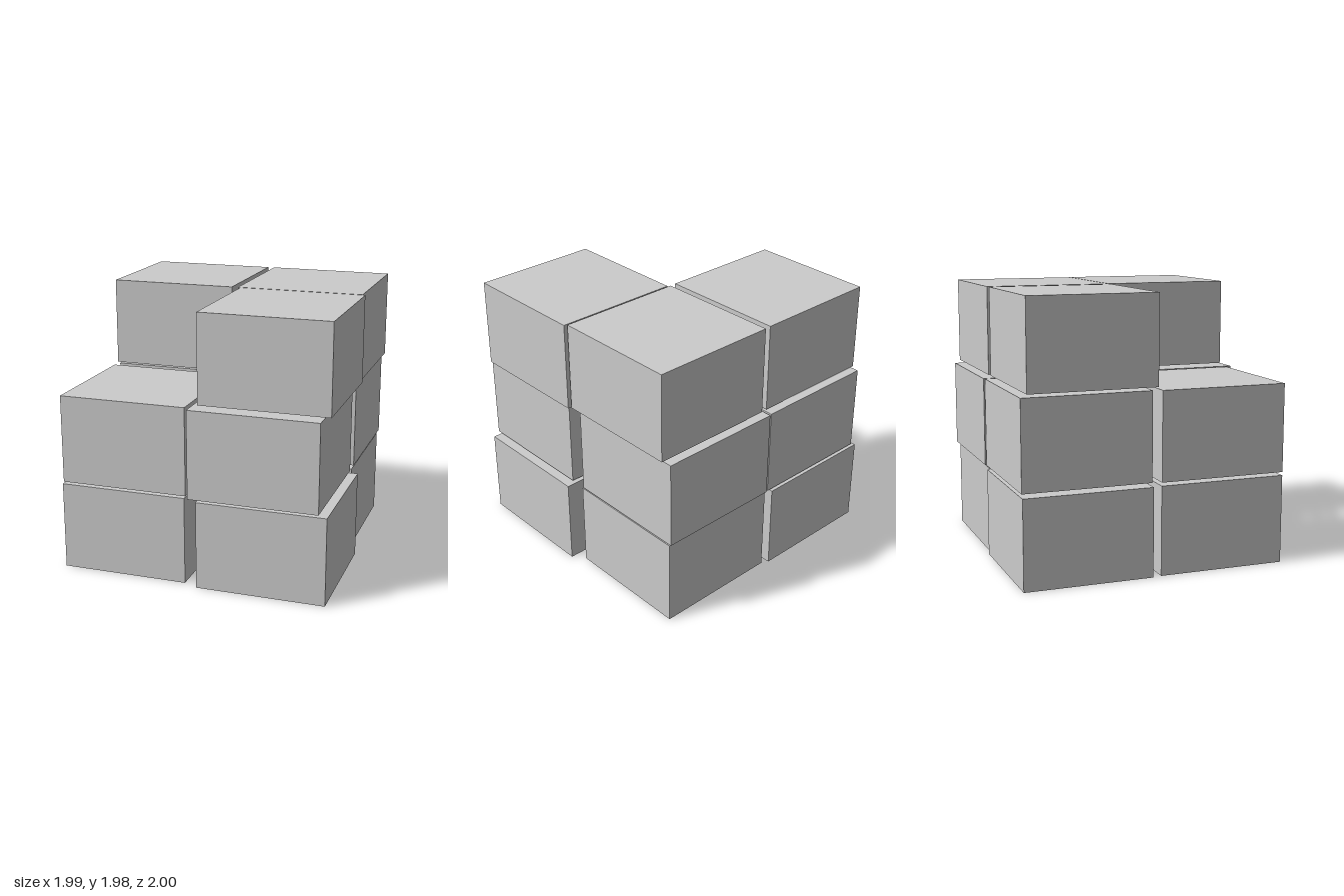
import * as THREE from 'three';

// Block size and vertical spacing of the layers
const WIDTH = 0.938, HEIGHT = 0.645, PITCH = 0.666;

// Slightly jittered block centres [x, z] for each layer, bottom to top
const LAYERS = [
  { name: 'bottom', blocks: { FrontRight: [-0.518, 0.47], FrontLeft: [0.523, 0.518], BackRight: [-0.531, -0.531], BackLeft: [0.456, -0.506] } },
  { name: 'middle', blocks: { FrontRight: [-0.505, 0.478], FrontLeft: [0.467, 0.531], BackRight: [-0.488, -0.525], BackLeft: [0.466, -0.531] } },
  // The top layer leaves one corner empty
  { name: 'top', blocks: { FrontLeft: [0.523, 0.464], BackRight: [-0.484, -0.48], BackLeft: [0.501, -0.484] } },
];

export function createModel() {
  const model = new THREE.Group();
  model.name = 'blockStack';
  const material = new THREE.MeshStandardMaterial({ color: 0xcccccc });
  const geometry = new THREE.BoxGeometry(WIDTH, HEIGHT, WIDTH);

  LAYERS.forEach(({ name, blocks }, level) => {
    const layer = new THREE.Group();
    layer.name = `${name}Layer`;
    layer.position.y = level * PITCH + HEIGHT / 2;
    for (const [corner, [x, z]] of Object.entries(blocks)) {
      const block = new THREE.Mesh(geometry, material);
      block.name = `${name}${corner}Block`;
      block.position.set(x, 0, z);
      layer.add(block);
    }
    model.add(layer);
  });
  return model;
}
